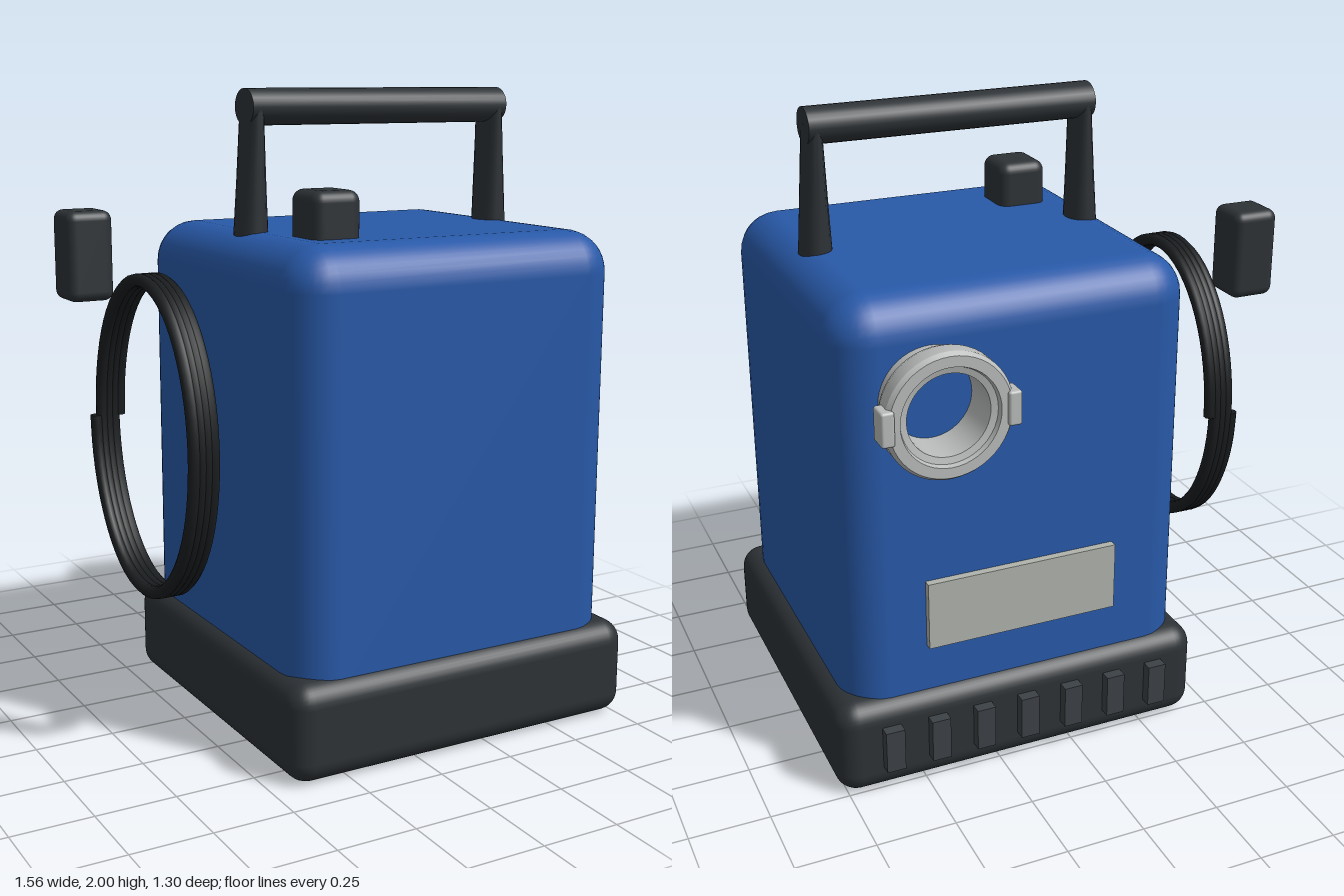
import * as THREE from 'three';
import { RoundedBoxGeometry } from 'three/addons/geometries/RoundedBoxGeometry.js';
import { toCreasedNormals } from 'three/addons/utils/BufferGeometryUtils.js';

const paint = (color) => new THREE.MeshStandardMaterial({ color });
const blue = paint(0x2859a8);
const dark = paint(0x2d3236);
const black = paint(0x1a1d1f);
const slot = paint(0x3c4146);
const metal = paint(0xb9bcba);
const plateGrey = paint(0xb0b3ac);

export function createModel() {
  const model = new THREE.Group();

  const add = (name, geometry, material, parent = model) => {
    const mesh = new THREE.Mesh(geometry, material);
    mesh.name = name;
    parent.add(mesh);
    return mesh;
  };
  // Box given by its [min, max] range on each axis, rounded if r > 0
  const block = (name, x, y, z, r, material, parent) => {
    const size = [x, y, z].map(([a, b]) => b - a);
    const g = r > 0 ? new RoundedBoxGeometry(...size, 4, r) : new THREE.BoxGeometry(...size);
    g.translate(...[x, y, z].map(([a, b]) => (a + b) / 2));
    return add(name, g, material, parent);
  };

  // Housing and foot
  block('base', [-0.44, 0.78], [0, 0.31], [-0.52, 0.65], 0.07, dark);
  block('body', [-0.4, 0.73], [0.12, 1.57], [-0.48, 0.61], 0.13, blue);
  block('switchKnob', [-0.24, -0.08], [1.52, 1.71], [0.24, 0.41], 0.035, dark);

  // Carry handle: oval bar on two legs that narrow toward the top
  const midX = 0.165, midZ = 0.064;
  const handle = new THREE.Group();
  handle.name = 'handle';
  model.add(handle);
  const bar = new THREE.CylinderGeometry(1, 1, 0.92, 24);
  bar.rotateZ(Math.PI / 2).scale(1, 0.056, 0.064).translate(midX, 1.944, midZ);
  add('handleBar', toCreasedNormals(bar, 0.7), dark, handle);
  for (const side of [-1, 1]) {
    const leg = new THREE.CylinderGeometry(0.5, 1, 0.41, 24, 1);
    const p = leg.attributes.position;
    for (let i = 0; i < p.count; i++) {
      const top = p.getY(i) > 0;
      p.setX(i, p.getX(i) * 0.052 + side * (top ? 0.435 : 0.442));
      p.setZ(i, p.getZ(i) * (top ? 0.126 : 0.064));
    }
    leg.translate(midX, 1.745, midZ);
    leg.computeVertexNormals();
    add('handleLeg', toCreasedNormals(leg, 0.7), dark, handle);
  }

  // Hose coupling: open stepped tube with two claws
  const coupling = new THREE.Group();
  coupling.name = 'hoseCoupling';
  coupling.position.set(0.45, 1.27, -0.47);
  model.add(coupling);
  const profile = [
    [0.125, 0], [0.158, 0], [0.158, 0.055], [0.172, 0.062], [0.172, 0.075],
    [0.185, 0.085], [0.192, 0.105], [0.192, 0.155], [0.182, 0.17],
    [0.15, 0.17], [0.145, 0.155], [0.125, 0.15], [0.125, 0],
  ].map(([r, y]) => new THREE.Vector2(r, y));
  const ring = new THREE.LatheGeometry(profile, 48).rotateX(-Math.PI / 2);
  add('couplingRing', toCreasedNormals(ring, 0.5), metal, coupling);
  for (const side of [-1, 1]) {
    const claw = block('couplingClaw', [-0.02, 0.02], [-0.052, 0.052], [-0.182, -0.112], 0.008, metal, coupling);
    claw.position.x = side * 0.188;
  }

  // Rating plate and vent ribs on the back
  block('ratingPlate', [-0.14, 0.48], [0.46, 0.68], [-0.505, -0.47], 0, plateGrey);
  for (let i = 0; i < 7; i++) {
    const x = -0.28 + i * 0.149;
    block('ventRib', [x - 0.03, x + 0.03], [0.09, 0.23], [-0.555, -0.5], 0, slot);
  }

  // Coiled power cable: oval helix beside the body
  const turns = 4;
  const points = [];
  for (let i = 0; i <= turns * 32; i++) {
    const t = i / (turns * 32);
    const a = t * turns * Math.PI * 2;
    points.push(new THREE.Vector3(
      -0.576 - 0.077 * t,
      0.96 + 0.48 * Math.sin(a),
      0.06 - 0.37 * Math.cos(a),
    ));
  }
  const path = new THREE.CatmullRomCurve3(points);
  add('cableCoil', new THREE.TubeGeometry(path, turns * 64, 0.02, 10), black);
  // End caps of the cable
  for (const end of [points[0], points[points.length - 1]]) {
    const cap = add('cableEnd', new THREE.CylinderGeometry(0.02, 0.02, 0.004, 10), black);
    cap.position.copy(end);
  }
  block('plug', [-0.78, -0.63], [1.35, 1.63], [-0.32, -0.17], 0.03, dark);

  return model;
}
